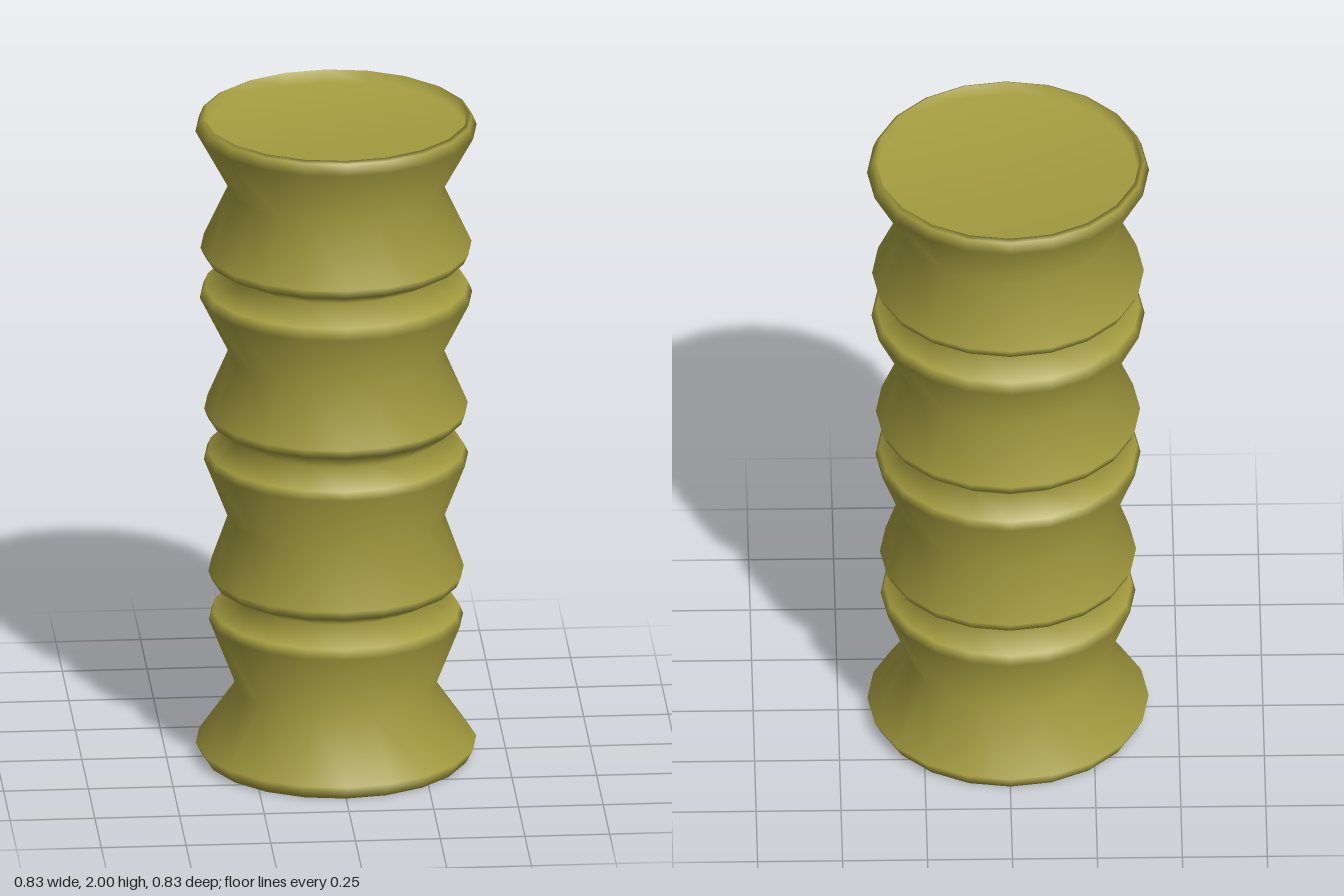
import * as THREE from 'three';
import { mergeVertices } from 'three/addons/utils/BufferGeometryUtils.js';

const SIDES = 20;

// Profile as [radius, height], bottom to top: four waisted drums joined by grooves.
const profile = [
  // base drum
  [0, 0], [0.39, 0], [0.397, 0.01], [0.414, 0.043], [0.293, 0.217], [0.375, 0.428], [0.364, 0.456],
  [0.275, 0.503], // groove
  // lower drum
  [0.364, 0.55], [0.377, 0.579], [0.318, 0.747], [0.39, 0.932], [0.379, 0.957],
  [0.313, 1.01], // groove
  // upper drum
  [0.378, 1.062], [0.389, 1.09], [0.315, 1.264], [0.402, 1.439], [0.388, 1.471],
  [0.295, 1.518], // groove
  // top drum, with a thin rim around a shallow recess
  [0.386, 1.566], [0.4, 1.595], [0.315, 1.778], [0.415, 1.961], [0.402, 1.993],
  [0.389, 2], [0.384, 1.96], [0, 1.96],
];

export function createModel() {
  const points = profile.map(([r, y]) => new THREE.Vector2(r, y));
  const lathe = new THREE.LatheGeometry(points, SIDES);

  // Weld the surface so that it is shaded smoothly, the large end caps staying nearly flat.
  lathe.deleteAttribute('normal');
  lathe.deleteAttribute('uv');
  const geometry = mergeVertices(lathe, 1e-4);
  geometry.computeVertexNormals();

  const column = new THREE.Mesh(geometry, new THREE.MeshStandardMaterial({ color: 0xa59d40 }));
  column.name = 'ribbedColumn';
  const group = new THREE.Group();
  group.name = 'column';
  group.add(column);
  return group;
}
